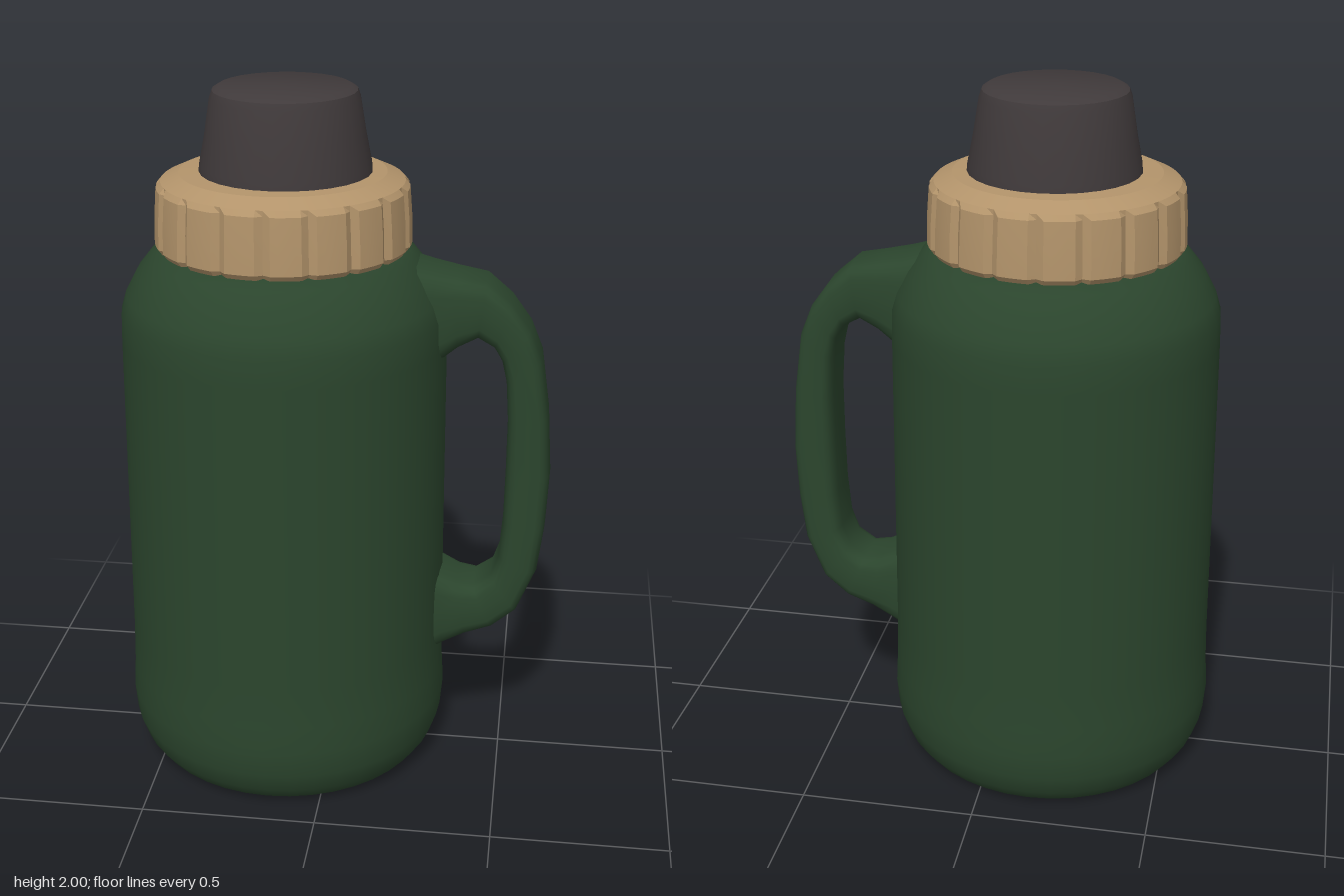
import * as THREE from 'three';
import { toCreasedNormals } from 'three/addons/utils/BufferGeometryUtils.js';

const AXIS_X = -0.148;

function lathe(profile, segments) {
  return new THREE.LatheGeometry(profile.map(([r, y]) => new THREE.Vector2(r, y)), segments);
}

// Sweeps a rounded-rectangle section between an outer and an inner outline
function handleGeometry() {
  // outer x, outer y, inner x, inner y, half depth
  const stations = [
    [0.16, 1.55, 0.20, 1.18, 0.13],
    [0.27, 1.52, 0.29, 1.25, 0.115],
    [0.34, 1.505, 0.345, 1.295, 0.105],
    [0.42, 1.49, 0.40, 1.325, 0.098],
    [0.49, 1.43, 0.445, 1.30, 0.096],
    [0.545, 1.355, 0.468, 1.26, 0.095],
    [0.58, 1.27, 0.482, 1.20, 0.094],
    [0.605, 1.10, 0.49, 1.08, 0.093],
    [0.617, 0.92, 0.49, 0.92, 0.093],
    [0.61, 0.76, 0.488, 0.77, 0.093],
    [0.593, 0.62, 0.48, 0.66, 0.094],
    [0.54, 0.49, 0.46, 0.60, 0.095],
    [0.47, 0.43, 0.41, 0.565, 0.097],
    [0.39, 0.40, 0.36, 0.575, 0.102],
    [0.325, 0.365, 0.305, 0.605, 0.112],
    [0.20, 0.28, 0.20, 0.66, 0.125],
  ];
  const sides = 20, pos = [], index = [];
  const soft = (v) => Math.sign(v) * Math.abs(v) ** 0.55;
  stations.forEach(([ox, oy, ix, iy, d], s) => {
    for (let k = 0; k < sides; k++) {
      const a = (k / sides) * Math.PI * 2;
      const t = (1 + soft(Math.cos(a))) / 2;
      pos.push(ix + (ox - ix) * t, iy + (oy - iy) * t, d * soft(Math.sin(a)));
      if (s < stations.length - 1) {
        const p = s * sides + k, q = s * sides + ((k + 1) % sides);
        index.push(p, p + sides, q, q, p + sides, q + sides);
      }
    }
  });
  const g = new THREE.BufferGeometry();
  g.setAttribute('position', new THREE.Float32BufferAttribute(pos, 3));
  g.setIndex(index);
  g.computeVertexNormals();
  return g;
}

// Screw collar whose side is cut by narrow upright grooves
function collarGeometry(panels) {
  const steps = 6;
  const g = lathe([[0.30, 1.55], [0.345, 1.56], [0.356, 1.575], [0.354, 1.65], [0.348, 1.73],
    [0.335, 1.745], [0.285, 1.768], [0.20, 1.772]], panels * steps);
  const p = g.attributes.position;
  for (let i = 0; i < p.count; i++) {
    const column = Math.floor(i / 8), row = i % 8;
    if (column % steps === 0 && row >= 1 && row <= 4) {
      p.setX(i, p.getX(i) * 0.965);
      p.setZ(i, p.getZ(i) * 0.965);
    }
  }
  return toCreasedNormals(g, 0.35);
}

export function createModel() {
  const group = new THREE.Group();
  const green = new THREE.MeshStandardMaterial({ color: 0x2b452d });
  const tan = new THREE.MeshStandardMaterial({ color: 0xb3946b });
  const charcoal = new THREE.MeshStandardMaterial({ color: 0x403a3b });
  green.name = 'bottle green';
  tan.name = 'tan';
  charcoal.name = 'charcoal';
  green.side = THREE.DoubleSide;

  function add(name, geometry, material, x = 0) {
    const mesh = new THREE.Mesh(geometry, material);
    mesh.name = name;
    mesh.position.x = x;
    group.add(mesh);
  }

  // Bottle body with rounded foot and shoulder
  add('body', lathe([[0, 0], [0.36, 0], [0.385, 0.004], [0.415, 0.02], [0.445, 0.06], [0.466, 0.12],
    [0.473, 0.2], [0.468, 0.28], [0.465, 0.4], [0.459, 1.3], [0.457, 1.38], [0.442, 1.43],
    [0.41, 1.49], [0.37, 1.54], [0.335, 1.565], [0.2, 1.575]], 40), green, AXIS_X);

  add('handle', handleGeometry(), green);
  add('collar', collarGeometry(18), tan, AXIS_X);

  // Tapered stopper cap
  add('cap', toCreasedNormals(lathe([[0.2, 1.755], [0.238, 1.765], [0.236, 1.79], [0.22, 1.87], [0.204, 1.97],
    [0.197, 1.99], [0.18, 2.0], [0, 2.0]], 28), 0.7), charcoal, -0.14);

  return group;
}
